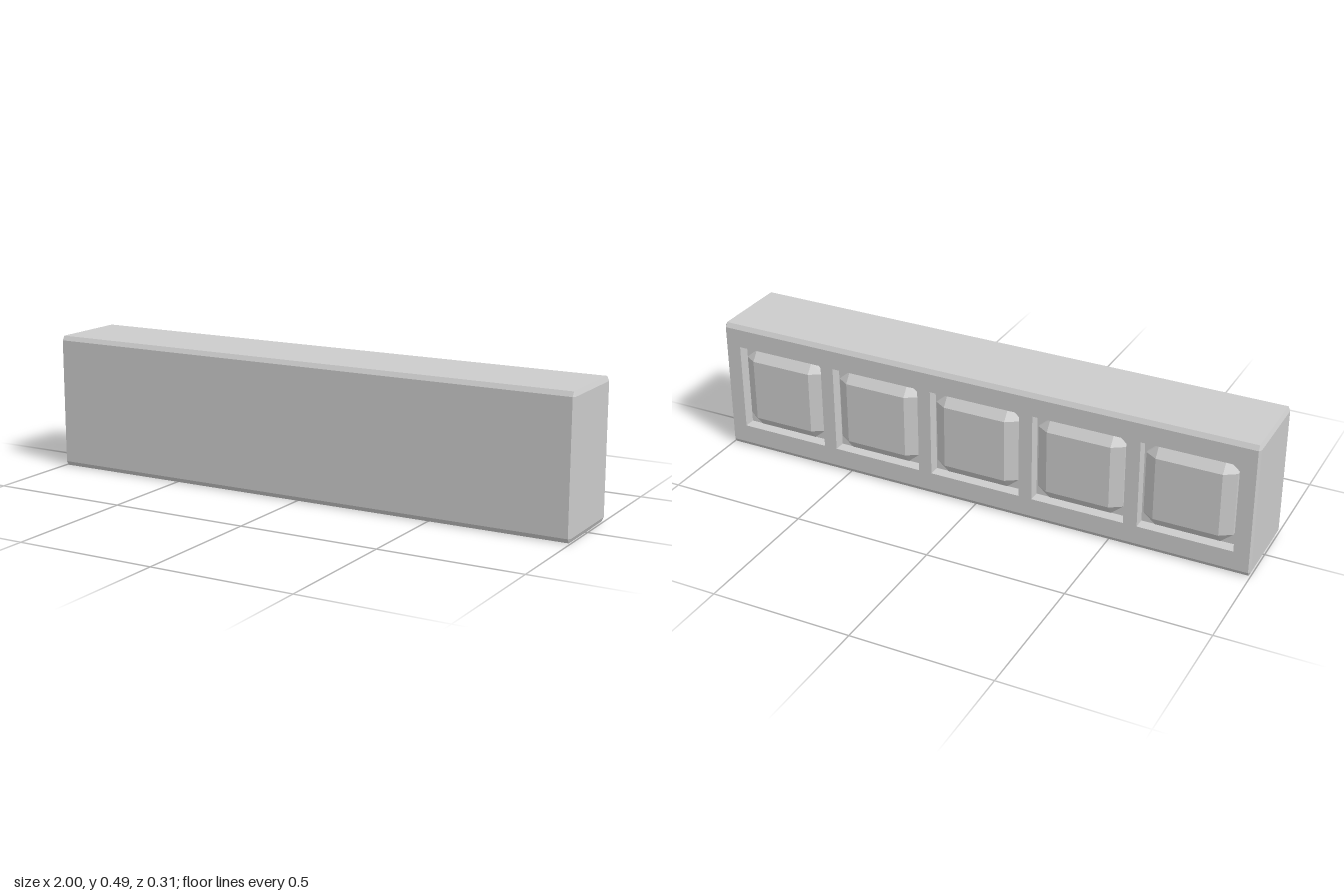
import * as THREE from 'three';
import { ConvexGeometry } from 'three/addons/geometries/ConvexGeometry.js';

const HX = 1, HY = 0.2435;                  // half length and half height
const FRONT = 0.153, BACK = -0.152, FLOOR = -0.11;
const CX = 0.007, CY = 0.016, CZ = 0.01;    // edge chamfer along each axis
const PITCH = 0.385, POCKET_W = 0.336, POCKET_H = 0.32;

const grey = new THREE.MeshStandardMaterial({ color: 0xcccccc, flatShading: true });
const greyInside = new THREE.MeshStandardMaterial({ color: 0xcccccc, flatShading: true, side: THREE.BackSide });

function addMesh(parent, name, geometry, material = grey) {
  const mesh = new THREE.Mesh(geometry, material);
  mesh.name = name;
  parent.add(mesh);
  return mesh;
}

// Counter-clockwise eight-point outline; with ox = oy = 0 it is the chamfered-in rectangle
function ring(z, ox, oy) {
  const x = HX - CX, y = HY - CY;
  return [
    [x + ox, -y], [x + ox, y], [x, y + oy], [-x, y + oy],
    [-x - ox, y], [-x - ox, -y], [-x, -y - oy], [x, -y - oy],
  ].map(([px, py]) => new THREE.Vector3(px, py, z));
}

// Chamfered sides of the bar, lofted from front to back
function sidesGeometry() {
  const rings = [
    ring(FRONT, 0, 0), ring(FRONT - CZ, CX, CY),
    ring(BACK + CZ, CX, CY), ring(BACK, 0, 0),
  ];
  const points = [];
  for (let i = 0; i < 3; i++) {
    for (let j = 0; j < 8; j++) {
      const k = (j + 1) % 8;
      const a = rings[i][j], b = rings[i][k], c = rings[i + 1][j], d = rings[i + 1][k];
      points.push(a, c, b, b, c, d);
    }
  }
  const geometry = new THREE.BufferGeometry().setFromPoints(points);
  geometry.computeVertexNormals();
  return geometry;
}

function rectangle(Type, cx, w, h) {
  return new Type([[-1, -1], [1, -1], [1, 1], [-1, 1]]
    .map(([sx, sy]) => new THREE.Vector2(cx + sx * w / 2, sy * h / 2)));
}

// Block with every edge cut by its own chamfer per axis
function chamferedBlock(hx, hy, hz, cx, cy, cz) {
  const points = [];
  for (const sx of [-1, 1]) for (const sy of [-1, 1]) for (const sz of [-1, 1]) {
    points.push(
      new THREE.Vector3(sx * hx, sy * (hy - cy), sz * (hz - cz)),
      new THREE.Vector3(sx * (hx - cx), sy * hy, sz * (hz - cz)),
      new THREE.Vector3(sx * (hx - cx), sy * (hy - cy), sz * hz),
    );
  }
  return new ConvexGeometry(points);
}

export function createModel() {
  const model = new THREE.Group();
  model.name = 'panelledBar';
  const bar = new THREE.Group();
  bar.name = 'bar';
  bar.position.y = HY;
  model.add(bar);

  const faceW = 2 * (HX - CX), faceH = 2 * (HY - CY);
  addMesh(bar, 'chamferedSides', sidesGeometry());
  addMesh(bar, 'frontFace', new THREE.PlaneGeometry(faceW, faceH)).position.z = FRONT;

  // Back frame with five openings
  const frame = rectangle(THREE.Shape, 0, faceW, faceH);
  const centres = [-2, -1, 0, 1, 2].map((i) => i * PITCH);
  for (const x of centres) frame.holes.push(rectangle(THREE.Path, x, POCKET_W, POCKET_H));
  const back = addMesh(bar, 'backFrame', new THREE.ShapeGeometry(frame));
  back.rotation.y = Math.PI;
  back.position.z = BACK;

  // Open pockets, each holding a bevelled pad that stands just proud of the frame
  const pocket = new THREE.BoxGeometry(POCKET_W, POCKET_H, FLOOR - BACK);
  pocket.setIndex(Array.from(pocket.index.array).slice(0, 30));
  const pad = chamferedBlock(0.156, 0.15, 0.04, 0.042, 0.036, 0.027);
  for (const x of centres) {
    addMesh(bar, 'pocket', pocket, greyInside).position.set(x, 0, (FLOOR + BACK) / 2);
    addMesh(bar, 'pad', pad).position.set(x, 0, -0.1135);
  }
  return model;
}
